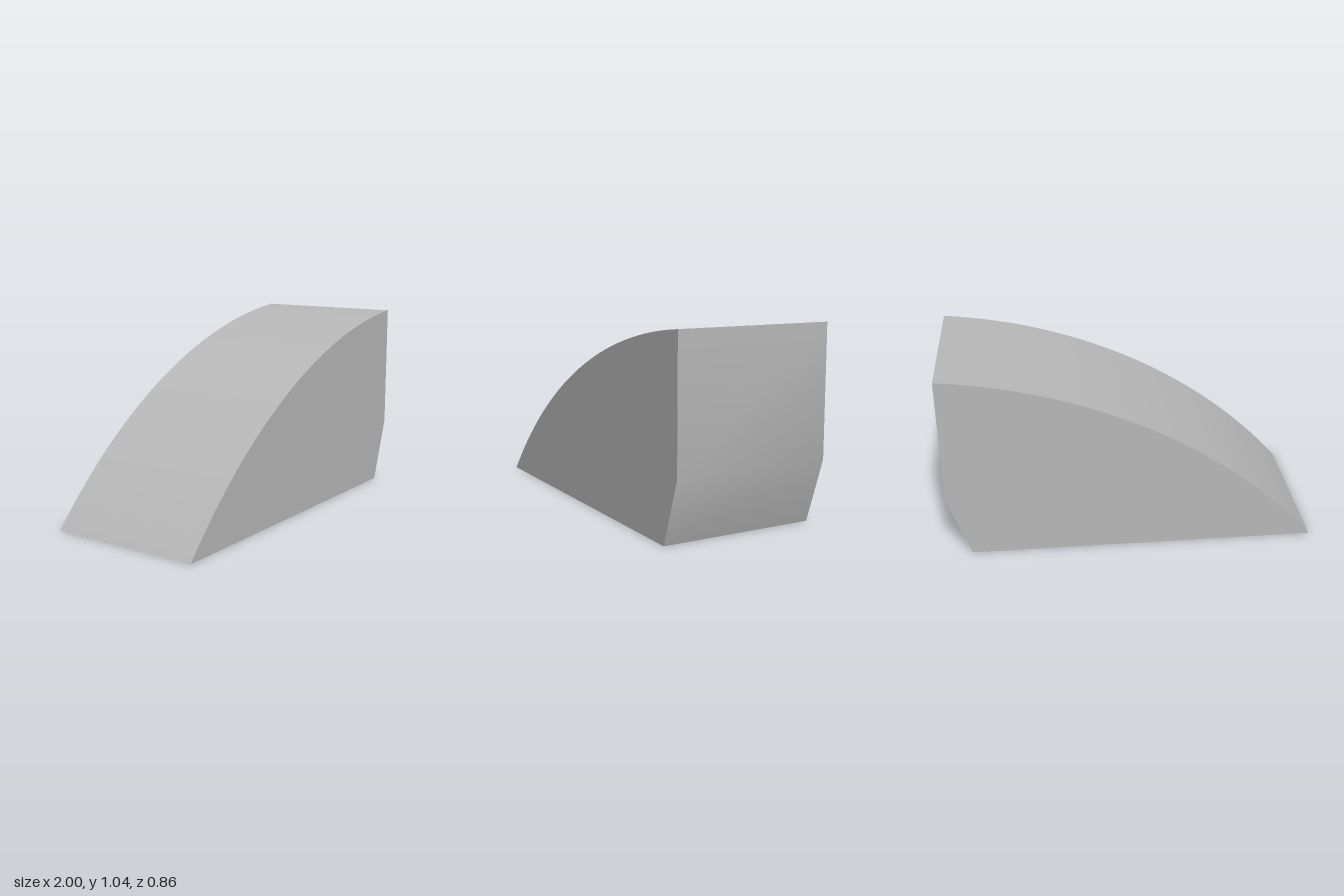
import * as THREE from 'three';
import { toCreasedNormals } from 'three/addons/utils/BufferGeometryUtils.js';

const WIDTH = 0.86;
const ARC = { x: 1.279, y: -1.926, r: 2.984 }; // circle of the curved top

export function createModel() {
  const group = new THREE.Group();
  group.name = 'wedgeBlock';

  const grey = new THREE.MeshStandardMaterial({ color: 0xb8b8b8 });
  grey.name = 'light grey';

  // Side profile: flat base, slanted heel, upright end, arched top
  const angleTo = (x, y) => Math.atan2(y - ARC.y, x - ARC.x);
  const profile = new THREE.Shape();
  profile.moveTo(-1, 0);
  profile.lineTo(0.88, 0);
  profile.lineTo(1, 0.35);
  profile.lineTo(1, 1.045);
  profile.absarc(ARC.x, ARC.y, ARC.r, angleTo(1, 1.045), angleTo(-1, 0), false);

  const geometry = new THREE.ExtrudeGeometry(profile, {
    depth: WIDTH,
    bevelEnabled: false,
    curveSegments: 32,
  });
  geometry.translate(0, 0, -WIDTH / 2);

  // Smooth the arch and the shallow heel bend, keep the other edges sharp
  const block = new THREE.Mesh(toCreasedNormals(geometry, Math.PI / 6), grey);
  block.name = 'archedWedge';
  group.add(block);

  return group;
}
